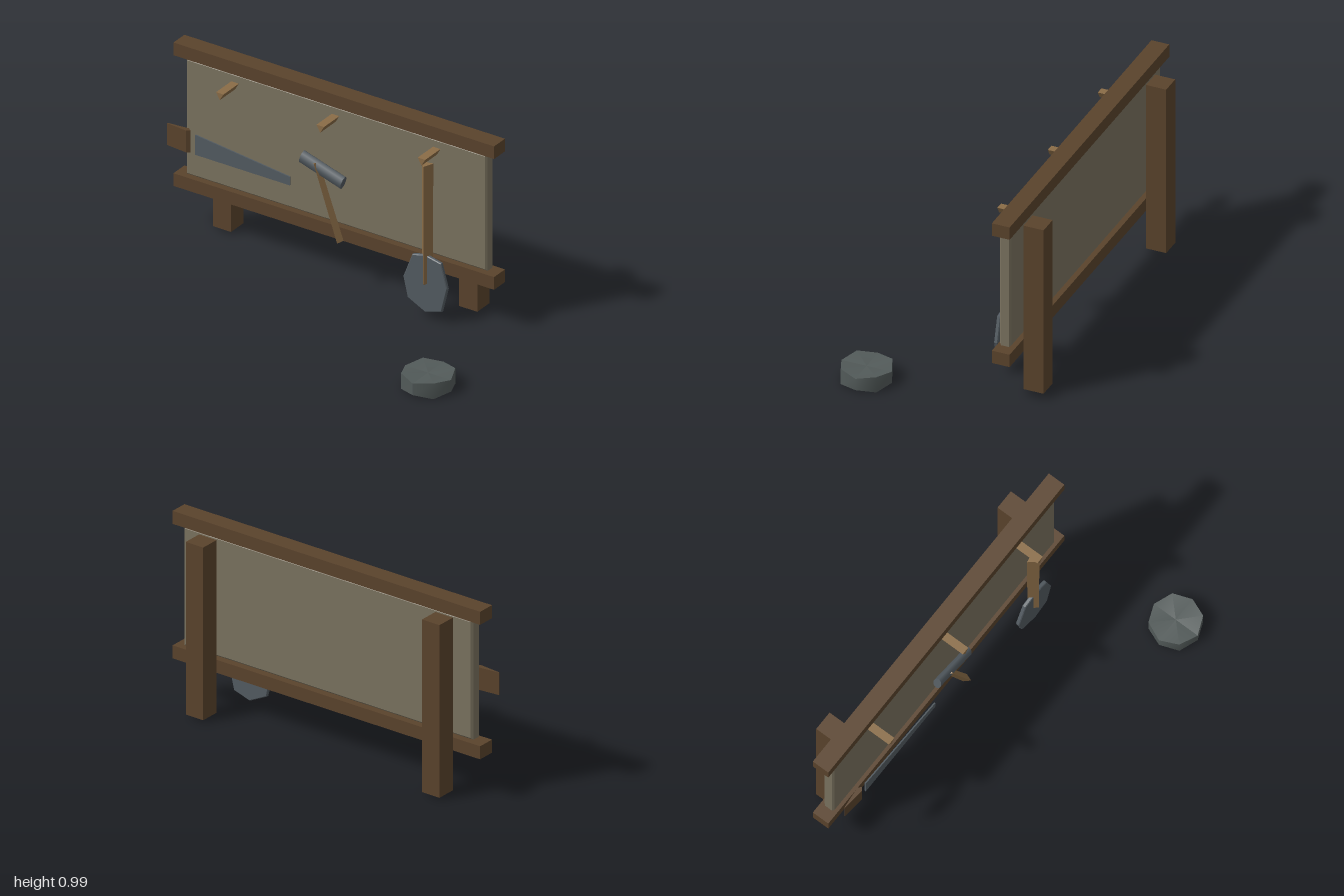
import * as THREE from 'three';

const mat = (name, color) => Object.assign(new THREE.MeshStandardMaterial({ color }), { name });

export function createModel() {
  const model = new THREE.Group();
  model.name = 'toolRack';
  const darkWood = mat('darkWood', 0x5a432c);
  const lightWood = mat('lightWood', 0x8a6c47);
  const board = mat('board', 0x7a725f);
  const metal = mat('metal', 0x535b61);
  const stone = mat('stone', 0x525a59);
  for (const m of [darkWood, lightWood, board]) m.flatShading = true;

  const add = (name, geometry, material, x = 0, y = 0, z = 0) => {
    const mesh = new THREE.Mesh(geometry, material);
    mesh.name = name;
    mesh.position.set(x, y, z);
    model.add(mesh);
    return mesh;
  };
  const outline = (pts) => new THREE.Shape(pts.map(([x, y]) => new THREE.Vector2(x, y)));
  const plate = (pts, depth, bevel = 0) => new THREE.ExtrudeGeometry(outline(pts), {
    depth, bevelEnabled: bevel > 0, bevelSize: bevel, bevelThickness: bevel, bevelOffset: -bevel, bevelSegments: 1,
  });
  // Three-sided stick
  const stick = (rTop, rBottom, length, turn = 0) =>
    new THREE.CylinderGeometry(rTop, rBottom, length, 3, 1, false, turn);

  // Frame: two rails in front of two posts
  add('topRail', new THREE.BoxGeometry(1.82, 0.068, 0.092), darkWood, -0.09, 0.955, -0.326);
  add('bottomRail', new THREE.BoxGeometry(1.82, 0.068, 0.092), darkWood, -0.09, 0.254, -0.326);
  for (const [name, x] of [['rightPost', -0.787], ['leftPost', 0.611]])
    add(name, new THREE.BoxGeometry(0.103, 0.9, 0.104), darkWood, x, 0.462, -0.424);

  // Backing panel with chamfered edges
  add('panel', plate([[-0.94, 0.295], [0.768, 0.295], [0.768, 0.917], [-0.94, 0.917]], 0.042, 0.009),
    board, 0, 0, -0.346);

  // Hanging pegs, point down
  for (const x of [-0.66, -0.09, 0.485])
    add('peg', stick(0.0245, 0.0245, 0.14), lightWood, x, 0.86, -0.236).rotation.x = Math.PI / 2;

  // Shovel
  add('shovelHandle', stick(0.034, 0.031, 0.635, 0.18), lightWood, 0.484, 0.508, -0.207);
  add('shovelBlade', plate([
    [0.485, 0.035], [0.578, 0.063], [0.61, 0.195], [0.575, 0.322],
    [0.485, 0.342], [0.412, 0.325], [0.36, 0.19], [0.385, 0.085],
  ], 0.012, 0.004), metal, 0, 0, -0.211);

  // Hammer
  const headGeo = new THREE.CylinderGeometry(0.037, 0.037, 0.245, 8);
  headGeo.rotateZ(Math.PI / 2).scale(1, 1, 0.6);
  add('hammerHead', headGeo, metal, -0.115, 0.604, -0.224).rotation.z = -0.3;
  add('hammerHandle', stick(0.018, 0.022, 0.408, 0.18), lightWood, -0.083, 0.443, -0.214).rotation.z = 0.337;

  // Saw: tapering blade and wedge grip
  add('sawBlade', plate([[-0.82, 0.48], [-0.283, 0.48], [-0.283, 0.525], [-0.82, 0.586]], 0.007),
    metal, 0, 0, -0.203);
  const grip = plate([[-0.98, 0.196], [-0.865, 0.185], [-0.848, 0.198], [-0.865, 0.212], [-0.98, 0.2]], 0.117);
  grip.rotateX(-Math.PI / 2).scale(1, 1, 1);
  add('sawGrip', grip, darkWood, 0, 0.484, 0);

  // Eight-sided whetstone, taller at every other corner
  const stoneGeo = new THREE.CylinderGeometry(0.13, 0.13, 0.066, 8);
  const p = stoneGeo.attributes.position;
  for (let i = 0; i < p.count; i++) {
    const diagonal = Math.abs(p.getX(i) * p.getZ(i)) > 0.002;
    p.setY(i, Math.sign(p.getY(i)) * (diagonal ? 0.042 : 0.031));
  }
  stoneGeo.computeVertexNormals();
  add('whetstone', stoneGeo, stone, 0.868, 0.043, 0.345);

  return model;
}
